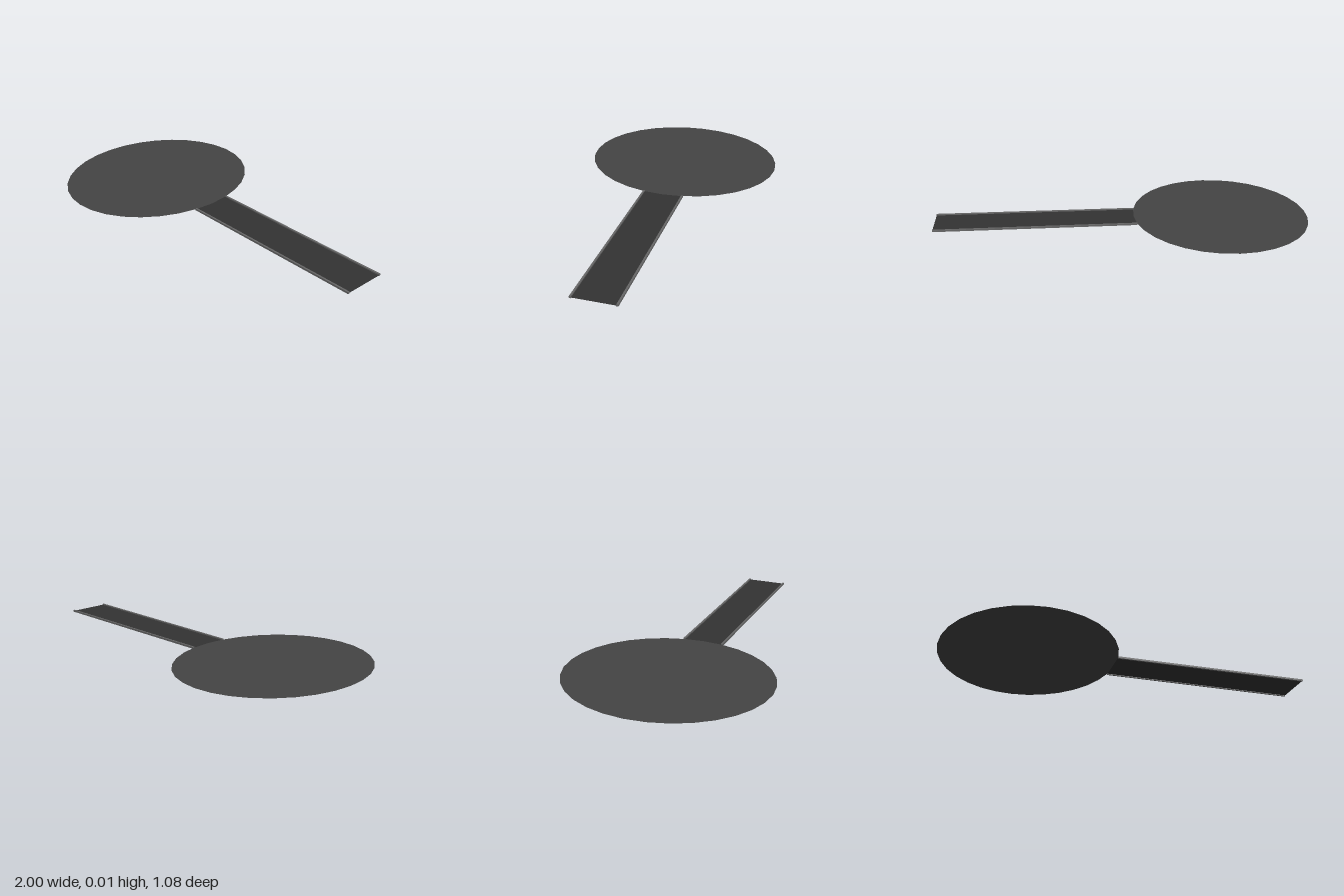
import * as THREE from 'three';

const paint = (color, side = THREE.FrontSide) => new THREE.MeshStandardMaterial({ color, side });

export function createModel() {
  const model = new THREE.Group();
  const add = (name, geometry, material) => {
    const mesh = new THREE.Mesh(geometry, material);
    mesh.name = name;
    model.add(mesh);
    return mesh;
  };

  // Flat oval court, a paper-thin 32-sided disc
  const court = new THREE.CircleGeometry(1, 32).rotateX(-Math.PI / 2).scale(0.47, 1, 0.538);
  add('ovalCourt', court, paint(0x444444, THREE.DoubleSide)).position.set(-0.53, 0.005, 0);

  // Straight path running from the court to the far end
  const x0 = -0.07, x1 = 1, length = x1 - x0, middle = (x0 + x1) / 2;
  const path = new THREE.PlaneGeometry(length, 0.22).rotateX(-Math.PI / 2);
  add('path', path, paint(0x333333, THREE.DoubleSide)).position.set(middle, 0.004, -0.003);

  // Low kerbs along the path; the front one runs slightly askew
  const kerbMaterial = paint(0x666666);
  const kerb = (name, zStart, zEnd) => {
    const run = Math.hypot(length, zEnd - zStart);
    const mesh = add(name, new THREE.BoxGeometry(run, 0.01, 0.01), kerbMaterial);
    mesh.position.set(middle, 0.005, (zStart + zEnd) / 2);
    mesh.rotation.y = -Math.atan2(zEnd - zStart, length);
  };
  kerb('frontKerb', 0.104, 0.111);
  kerb('backKerb', -0.112, -0.112);

  return model;
}
